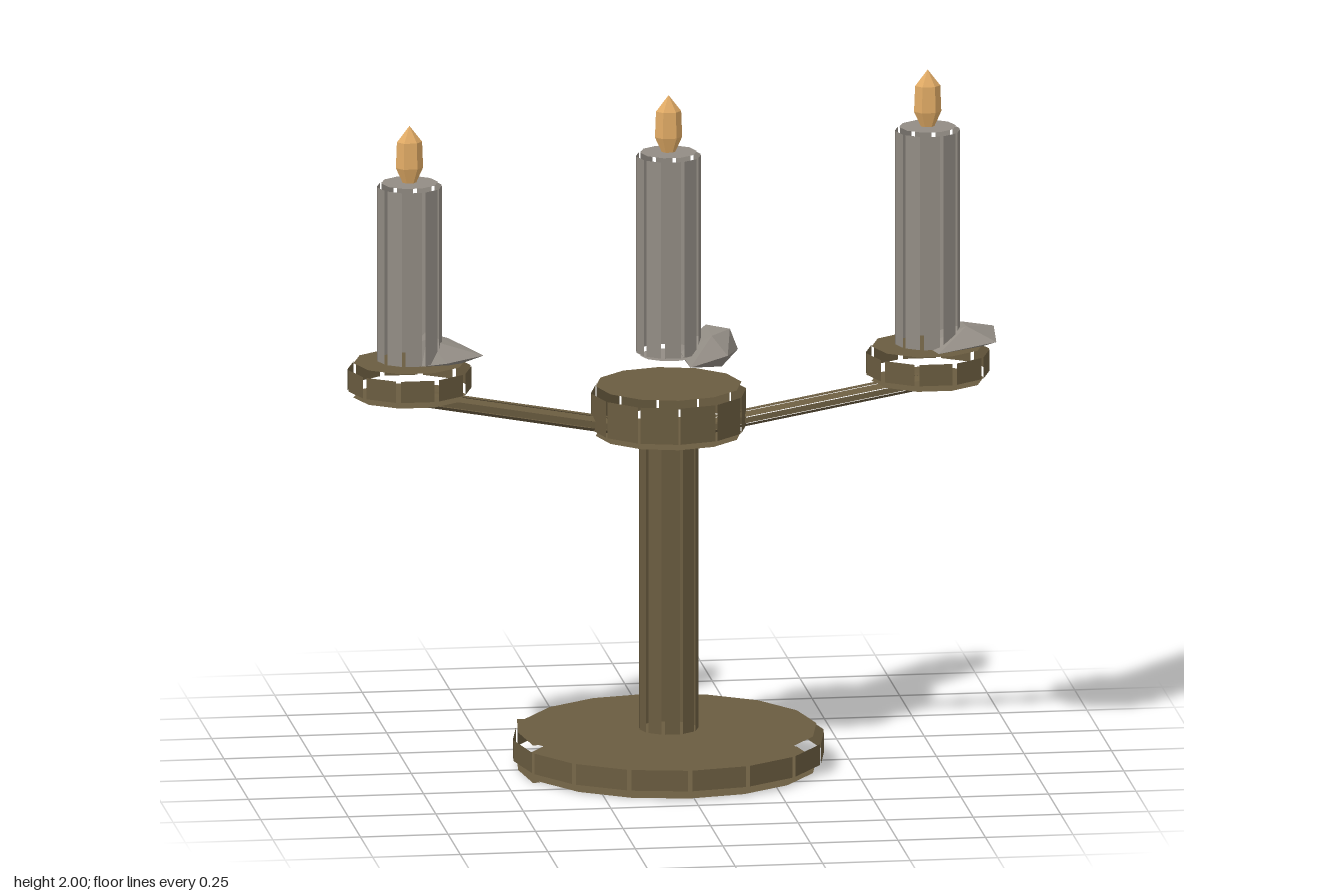
import * as THREE from 'three';
import { mergeGeometries } from 'three/addons/utils/BufferGeometryUtils.js';
import { ConvexGeometry } from 'three/addons/geometries/ConvexGeometry.js';

const AXIS_X = -0.015;

function material(name, color) {
  const m = new THREE.MeshStandardMaterial({ color, flatShading: true, side: THREE.DoubleSide });
  m.name = name;
  return m;
}

// Drum of flat side panels with open seams, closed by two inset caps.
// phase 0.5 turns a panel to the front, phase 0 a seam.
function drum(name, mat, { r, y0, y1, capR, cap0, cap1, n, gap, phase = 0 }) {
  const step = (Math.PI * 2) / n;
  const apothem = r * Math.cos(step / 2);
  const width = 2 * r * Math.sin(step / 2) * (1 - gap);
  const parts = [];
  for (let i = 0; i < n; i++) {
    const panel = new THREE.PlaneGeometry(width, y1 - y0);
    panel.translate(0, (y0 + y1) / 2, apothem);
    panel.rotateY((i + 0.5 - phase) * step);
    parts.push(panel);
  }
  for (const [y, tilt] of [[cap1, -1], [cap0, 1]]) {
    const cap = new THREE.CircleGeometry(capR, n, Math.PI / 2 + phase * step);
    cap.rotateX((tilt * Math.PI) / 2);
    cap.translate(0, y, 0);
    parts.push(cap);
  }
  const mesh = new THREE.Mesh(mergeGeometries(parts), mat);
  mesh.name = name;
  return mesh;
}

export function createModel() {
  const model = new THREE.Group();
  model.name = 'candelabra';
  const brass = material('agedBrass', 0x6a5c40);
  const wax = material('greyWax', 0x928c84);
  const fire = material('flameOrange', 0xe2ac66);

  const add = (mesh, x) => {
    mesh.position.x = x;
    model.add(mesh);
  };

  // Foot, stem and central hub
  add(drum('base', brass, { r: 0.445, y0: 0.03, y1: 0.09, capR: 0.422, cap0: 0.004, cap1: 0.11, n: 16, gap: 0.08 }), AXIS_X);
  add(drum('stem', brass, { r: 0.086, y0: 0.095, y1: 0.95, capR: 0.075, cap0: 0.09, cap1: 0.962, n: 10, gap: 0.2, phase: 0.5 }), AXIS_X);
  add(drum('hub', brass, { r: 0.222, y0: 0.985, y1: 1.09, capR: 0.208, cap0: 0.966, cap1: 1.11, n: 12, gap: 0.06 }), AXIS_X);

  // Loose rim flaps at the right end of the base
  const flap = new THREE.Shape([[-0.39, -0.16], [-0.41, -0.165], [-0.43, 0], [-0.41, 0.165], [-0.39, 0.16]]
    .map(([x, z]) => new THREE.Vector2(x, z)));
  for (const y of [0.002, 0.111]) {
    const rim = new THREE.Mesh(new THREE.ShapeGeometry(flap), brass);
    rim.name = 'baseRimFlap';
    rim.rotation.x = -Math.PI / 2;
    rim.position.set(AXIS_X, y, 0);
    model.add(rim);
  }

  // Sloping arms with drip pans
  for (const side of [-1, 1]) {
    const panX = AXIS_X + side * 0.74;
    const from = new THREE.Vector3(AXIS_X + side * 0.12, 0.988, 0);
    const to = new THREE.Vector3(panX, 1.098, 0);
    const len = from.distanceTo(to);
    const arm = drum('arm', brass, { r: 0.037, y0: 0.005, y1: len - 0.005, capR: 0.03, cap0: 0, cap1: len, n: 8, gap: 0.15, phase: 0.5 });
    arm.scale.x = 0.65;
    arm.position.copy(from);
    arm.quaternion.setFromUnitVectors(new THREE.Vector3(0, 1, 0), to.clone().sub(from).normalize());
    model.add(arm);
    add(drum('dripPan', brass, { r: 0.178, y0: 1.12, y1: 1.182, capR: 0.16, cap0: 1.1, cap1: 1.2, n: 10, gap: 0.14, phase: 0.5 }), panX);
  }

  // Candles: axis, top height, and corner points of the wax drip
  const candles = [
    { x: AXIS_X - 0.74, top: 1.71, drip: [
      [-0.745, 1.2, -0.16], [-0.7, 1.265, -0.08], [-0.63, 1.24, -0.1], [-0.55, 1.222, 0.05], [-0.61, 1.195, -0.05],
      [-0.66, 1.21, 0.085], [-0.71, 1.27, 0.03], [-0.73, 1.2, 0.07], [-0.64, 1.19, 0.04]] },
    { x: AXIS_X, top: 1.775, drip: [
      [0.025, 1.18, -0.13], [0.1, 1.265, -0.06], [0.14, 1.22, -0.1], [0.16, 1.265, 0], [0.183, 1.205, 0],
      [0.15, 1.17, -0.04], [0.14, 1.21, 0.1], [0.1, 1.26, 0.06], [0.03, 1.185, 0.125], [0.13, 1.168, 0.05], [0.02, 1.2, 0]] },
    { x: AXIS_X + 0.74, top: 1.825, drip: [
      [0.74, 1.2, -0.155], [0.83, 1.25, -0.06], [0.89, 1.22, -0.08], [0.922, 1.235, -0.06], [0.91, 1.22, 0.08],
      [0.83, 1.26, 0.04], [0.74, 1.2, 0.12], [0.86, 1.19, 0.02], [0.71, 1.21, 0.05]] },
  ];
  // Flame profile: radius and height above the candle
  const flameProfile = [[0, -0.005], [0.018, 0.004], [0.039, 0.05], [0.036, 0.125], [0, 0.172]]
    .map(([r, y]) => new THREE.Vector2(r, y));

  for (const { x, top, drip } of candles) {
    add(drum('candle', wax, { r: 0.094, y0: 1.205, y1: top, capR: 0.081, cap0: 1.195, cap1: top + 0.01, n: 10, gap: 0.2, phase: 0.5 }), x);

    const blob = new THREE.Mesh(new ConvexGeometry(drip.map((p) => new THREE.Vector3(...p))), wax);
    blob.name = 'waxDrip';
    model.add(blob);

    const flame = new THREE.Mesh(new THREE.LatheGeometry(flameProfile, 6, Math.PI / 6), fire);
    flame.name = 'flame';
    flame.scale.z = 0.7;
    flame.position.y = top + 0.003;
    add(flame, x);
  }
  return model;
}
